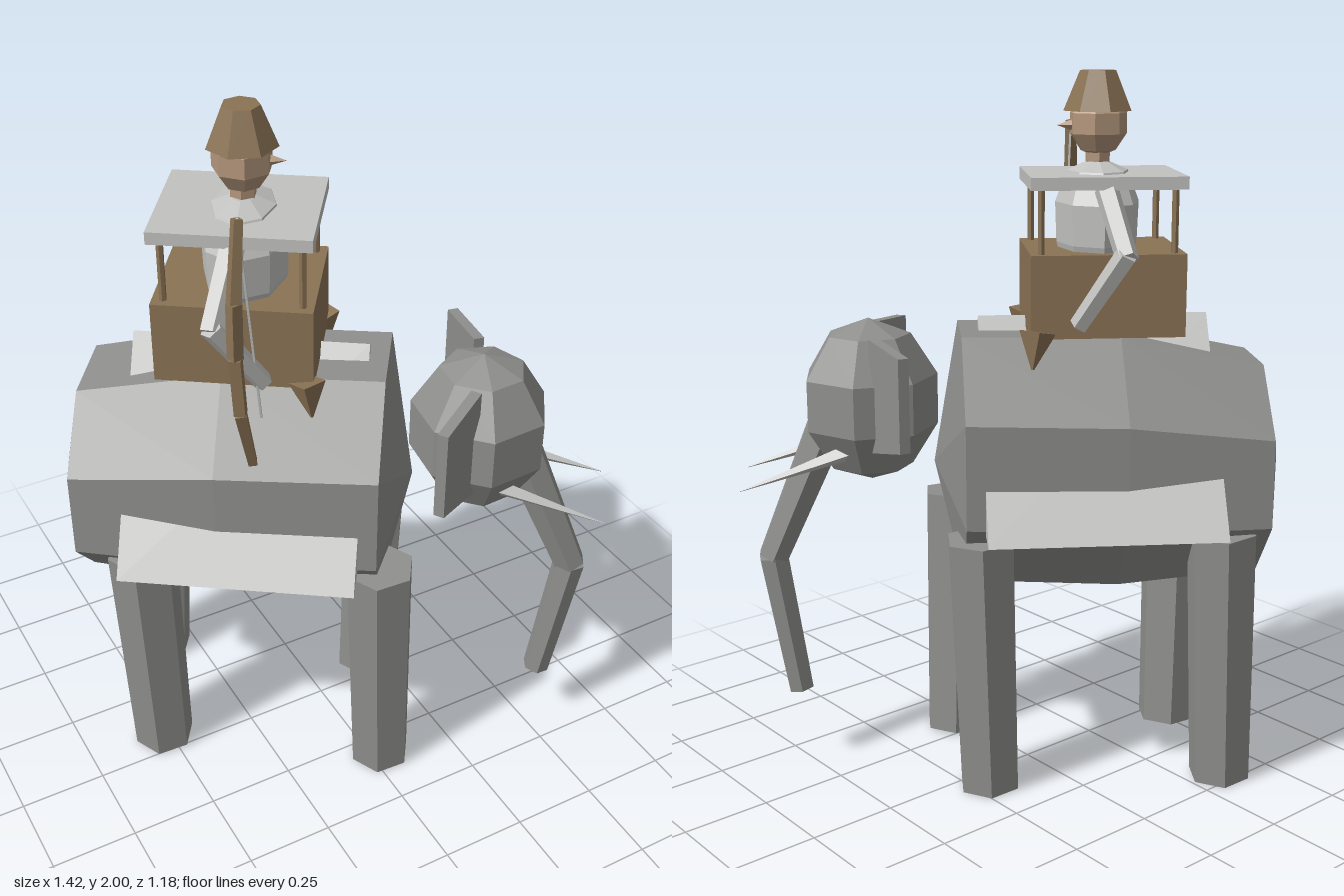
import * as THREE from 'three';

const mat = (name, color) => {
  const m = new THREE.MeshStandardMaterial({ color, flatShading: true, side: THREE.DoubleSide });
  m.name = name;
  return m;
};

export function createModel() {
  const hide = mat('grey hide', 0x8f8f8d);
  const pale = mat('pale cloth', 0xc2c2c0);
  const wood = mat('brown wood', 0x8b7355);
  const skin = mat('skin', 0xb3967c);

  // Local frame: +x is the animal's forward, +z its right side
  const root = new THREE.Group();
  root.name = 'warElephant';
  root.rotation.y = -35 * Math.PI / 180;
  root.position.set(-0.019, 0, 0.027);

  const V = (p) => new THREE.Vector3(...p);
  const add = (name, geo, material, pos = [0, 0, 0], parent = root) => {
    const m = new THREE.Mesh(geo, material);
    m.name = name;
    m.position.set(...pos);
    parent.add(m);
    return m;
  };
  // Tapered prism running from a to b
  const limb = (name, a, b, ra, rb, sides, material) => {
    const d = V(b).sub(V(a));
    const m = add(name, new THREE.CylinderGeometry(rb, ra, d.length(), sides), material);
    m.position.copy(V(a).add(V(b)).multiplyScalar(0.5));
    m.quaternion.setFromUnitVectors(new THREE.Vector3(0, 1, 0), d.normalize());
    return m;
  };

  // Body: octagonal cross-sections [x, centre y, half height, half width]
  const rings = [
    [-0.73, 0.9, 0, 0], [-0.652, 0.905, 0.325, 0.31], [-0.25, 0.932, 0.387, 0.338],
    [0.187, 0.95, 0.378, 0.332], [0.262, 0.92, 0, 0],
  ];
  const pos = [], index = [];
  for (const [x, cy, h, w] of rings) {
    for (let k = 0; k < 8; k++) {
      const a = (k + 0.5) * Math.PI / 4;
      pos.push(x, cy + h * Math.cos(a), w * Math.sin(a));
    }
  }
  for (let i = 0; i < rings.length - 1; i++) {
    for (let k = 0; k < 8; k++) {
      const a = i * 8 + k, b = i * 8 + (k + 1) % 8;
      if (i > 0) index.push(a, b, b + 8);
      if (i === 0) index.push(a, b + 8, a + 8);
      else if (i < rings.length - 2) index.push(a, b + 8, a + 8);
    }
  }
  const bodyGeo = new THREE.BufferGeometry();
  bodyGeo.setAttribute('position', new THREE.Float32BufferAttribute(pos, 3));
  bodyGeo.setIndex(index);
  bodyGeo.computeVertexNormals();
  add('body', bodyGeo, hide);

  // Legs in a walking stance: [foot x, side, lean of the top]
  for (const [x, s, lean] of [[0.207, 1, -0.015], [0.124, -1, 0.022], [-0.462, 1, -0.015], [-0.545, -1, 0.022]]) {
    limb('leg', [x, 0.008, s * 0.203], [x + lean, 0.76, s * 0.232], 0.09, 0.1, 6, hide);
  }

  // Head
  const headZ = 0.012;
  const head = add('head', new THREE.SphereGeometry(1, 7, 5), hide, [0.44, 1.1, headZ]);
  head.scale.set(0.2, 0.232, 0.2);

  // Trunk
  limb('upperTrunk', [0.54, 1.08, headZ], [0.729, 0.64, headZ - 0.004], 0.064, 0.046, 6, hide);
  limb('lowerTrunk', [0.727, 0.645, headZ - 0.004], [0.664, 0.232, headZ], 0.046, 0.039, 6, hide);

  // Ears: tapered slabs sweeping back; tusks: thin spikes
  const earShape = new THREE.Shape([[0, 0.98], [0.2, 1.025], [0.2, 1.28], [0, 1.298]].map(([x, y]) => new THREE.Vector2(x, y)));
  for (const s of [1, -1]) {
    const earGeo = new THREE.ExtrudeGeometry(earShape, { depth: 0.03, bevelEnabled: false });
    earGeo.translate(0, 0, -0.015);
    const ear = add('ear', earGeo, hide, [0.425, 0, headZ + s * 0.135]);
    // turn the slab's width outwards and slightly to the rear
    ear.rotation.y = s > 0 ? -Math.PI * 0.628 : Math.PI * 0.628;
    limb('tusk', [0.5, 0.975, headZ + s * 0.105], [0.8, 0.878, s * 0.122], 0.024, 0.001, 4, pale);
  }

  // Saddle cloth: a tent-shaped prism lying across the back
  const tent = new THREE.Shape([[-0.402, 0.785], [0.402, 0.785], [0, 1.335]].map(([x, y]) => new THREE.Vector2(x, y)));
  const cloth = new THREE.ExtrudeGeometry(tent, { depth: 0.645, bevelEnabled: false });
  cloth.rotateY(Math.PI / 2);
  add('saddleCloth', cloth, pale, [-0.51, 0, 0]);

  // Riding box with roof and corner posts
  const cx = -0.207;
  add('ridingBox', new THREE.BoxGeometry(0.42, 0.225, 0.365), wood, [cx, 1.4125, 0]);
  add('roof', new THREE.BoxGeometry(0.42, 0.034, 0.365), pale, [cx, 1.713, 0]);
  for (const sx of [1, -1]) {
    for (const sz of [1, -1]) {
      add('roofPost', new THREE.CylinderGeometry(0.01, 0.01, 0.19, 6), wood, [cx + sx * 0.18, 1.61, sz * 0.152]);
    }
  }

  // Rider's torso and neck
  const rx = -0.196;
  const profile = [[0, 1.45], [0.11, 1.45], [0.14, 1.54], [0.145, 1.65], [0.105, 1.735], [0.04, 1.758], [0, 1.758]];
  const torso = add('torso', new THREE.LatheGeometry(profile.map(([x, y]) => new THREE.Vector2(x, y)), 8), pale, [rx, 0, 0]);
  torso.scale.set(0.8, 1, 1.15);
  add('neck', new THREE.CylinderGeometry(0.036, 0.036, 0.06, 6), skin, [rx, 1.765, 0]);

  // Rider's head, nose and helmet
  const face = add('riderHead', new THREE.SphereGeometry(1, 7, 5), skin, [rx, 1.86, 0]);
  face.scale.set(0.084, 0.09, 0.084);
  const nose = add('nose', new THREE.ConeGeometry(0.016, 0.045, 4), skin, [rx + 0.09, 1.855, 0]);
  nose.rotation.z = -Math.PI / 2;
  add('helmet', new THREE.CylinderGeometry(0.05, 0.095, 0.107, 7), wood, [rx, 1.9465, 0]).rotation.y = Math.PI / 2;

  // Arms bent outside the box, and feet showing below its front corners
  for (const s of [1, -1]) {
    limb('upperArm', [-0.2, 1.7, s * 0.145], [-0.235, 1.53, s * 0.312], 0.034, 0.031, 5, pale);
    limb('forearm', [-0.235, 1.545, s * 0.312], [-0.12, 1.345, s * 0.232], 0.031, 0.027, 5, pale);
    limb('foot', [-0.015, 1.32, s * 0.18], [0.0, 1.22, s * 0.195], 0.05, 0.004, 4, wood);
  }

  // Bow held on the right, with its string
  const bow = [[-0.16, 1.85, 0.32], [-0.166, 1.65, 0.368], [-0.166, 1.5, 0.374], [-0.16, 1.33, 0.36], [-0.142, 1.14, 0.305]];
  for (let i = 0; i < bow.length - 1; i++) {
    const end = i === 0 || i === 3;
    limb('bowLimb', bow[i], bow[i + 1], end && i === 0 ? 0.016 : 0.021, end && i === 3 ? 0.016 : 0.021, 4, wood);
  }
  limb('bowString', bow[0], [-0.127, 1.24, 0.24], 0.004, 0.004, 4, pale);

  return root;
}
